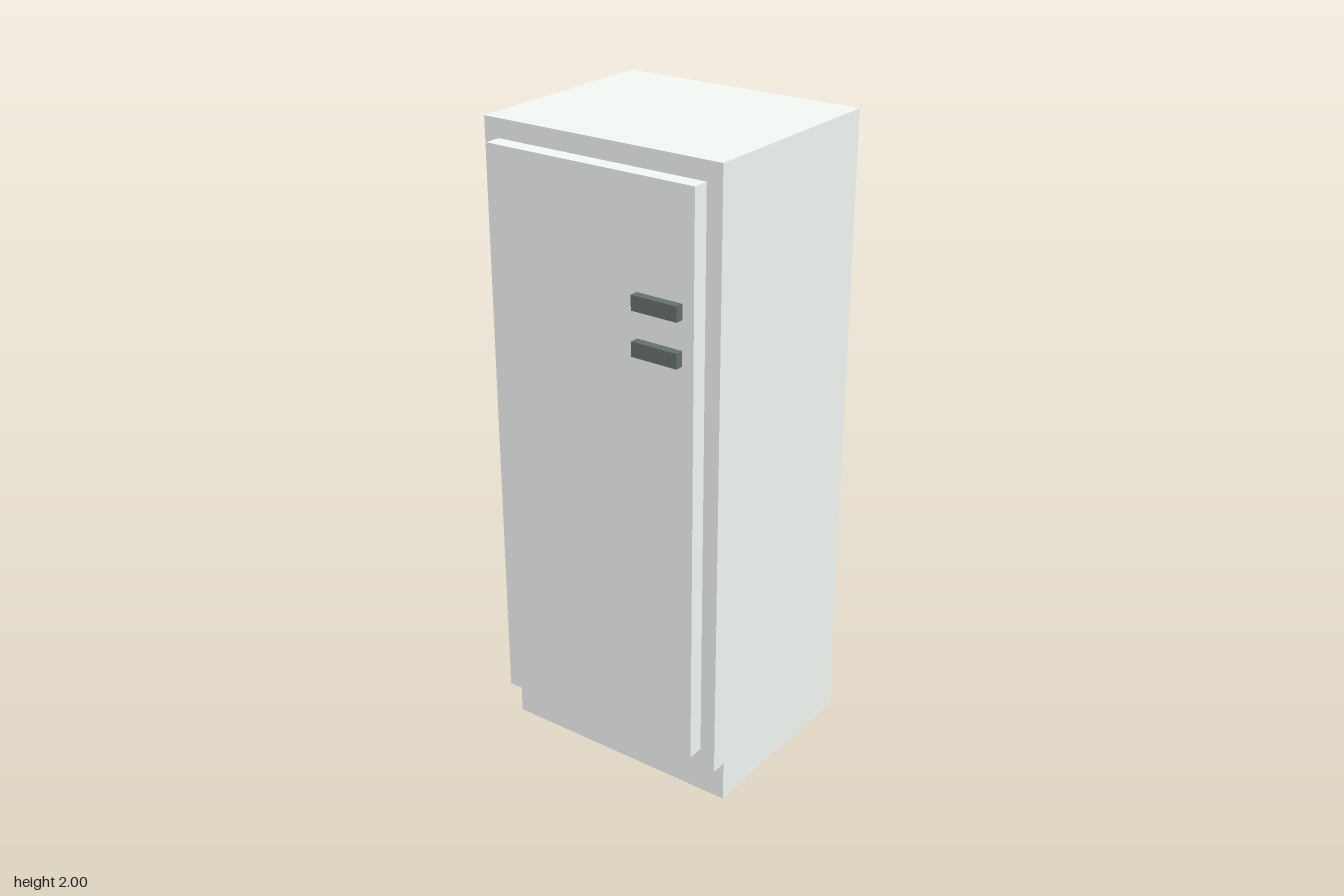
import * as THREE from 'three';

const white = new THREE.MeshStandardMaterial({ color: 0xf5faf7 });
const handleGrey = new THREE.MeshStandardMaterial({ color: 0x667170 });
const panelDark = new THREE.MeshStandardMaterial({ color: 0x3c4749 });

// Box given by its lower and upper limits on each axis
function box(name, [x0, x1], [y0, y1], [z0, z1], material) {
  const mesh = new THREE.Mesh(new THREE.BoxGeometry(x1 - x0, y1 - y0, z1 - z0), material);
  mesh.position.set((x0 + x1) / 2, (y0 + y1) / 2, (z0 + z1) / 2);
  mesh.name = name;
  return mesh;
}

export function createModel() {
  const model = new THREE.Group();
  model.name = 'refrigerator';

  // Cabinet: side profile (z, y) with a toe-kick step, extruded across the width
  const profile = new THREE.Shape([
    [-0.378, 0], [0.25, 0], [0.25, 0.13], [0.3, 0.13], [0.3, 2], [-0.378, 2],
  ].map(([z, y]) => new THREE.Vector2(z, y)));
  const cabinetGeometry = new THREE.ExtrudeGeometry(profile, { depth: 0.8, bevelEnabled: false });
  cabinetGeometry.rotateY(-Math.PI / 2).translate(0.4, 0, 0);
  const cabinet = new THREE.Mesh(cabinetGeometry, white);
  cabinet.name = 'cabinet';
  model.add(cabinet);

  // Door standing proud of the front
  model.add(box('door', [-0.35, 0.35], [0.192, 1.943], [0.3, 0.352], white));

  // Two short handles, one above the other
  for (const [name, y] of [['upperHandle', 1.575], ['lowerHandle', 1.442]]) {
    model.add(box(name, [0.163, 0.313], [y, y + 0.045], [0.352, 0.378], handleGrey));
  }

  // Thin dark panel on the back
  const backPanel = new THREE.Mesh(new THREE.PlaneGeometry(0.51, 1.172), panelDark);
  backPanel.rotation.y = Math.PI;
  backPanel.position.set(0, 0.754, -0.379);
  backPanel.name = 'backPanel';
  model.add(backPanel);

  return model;
}
